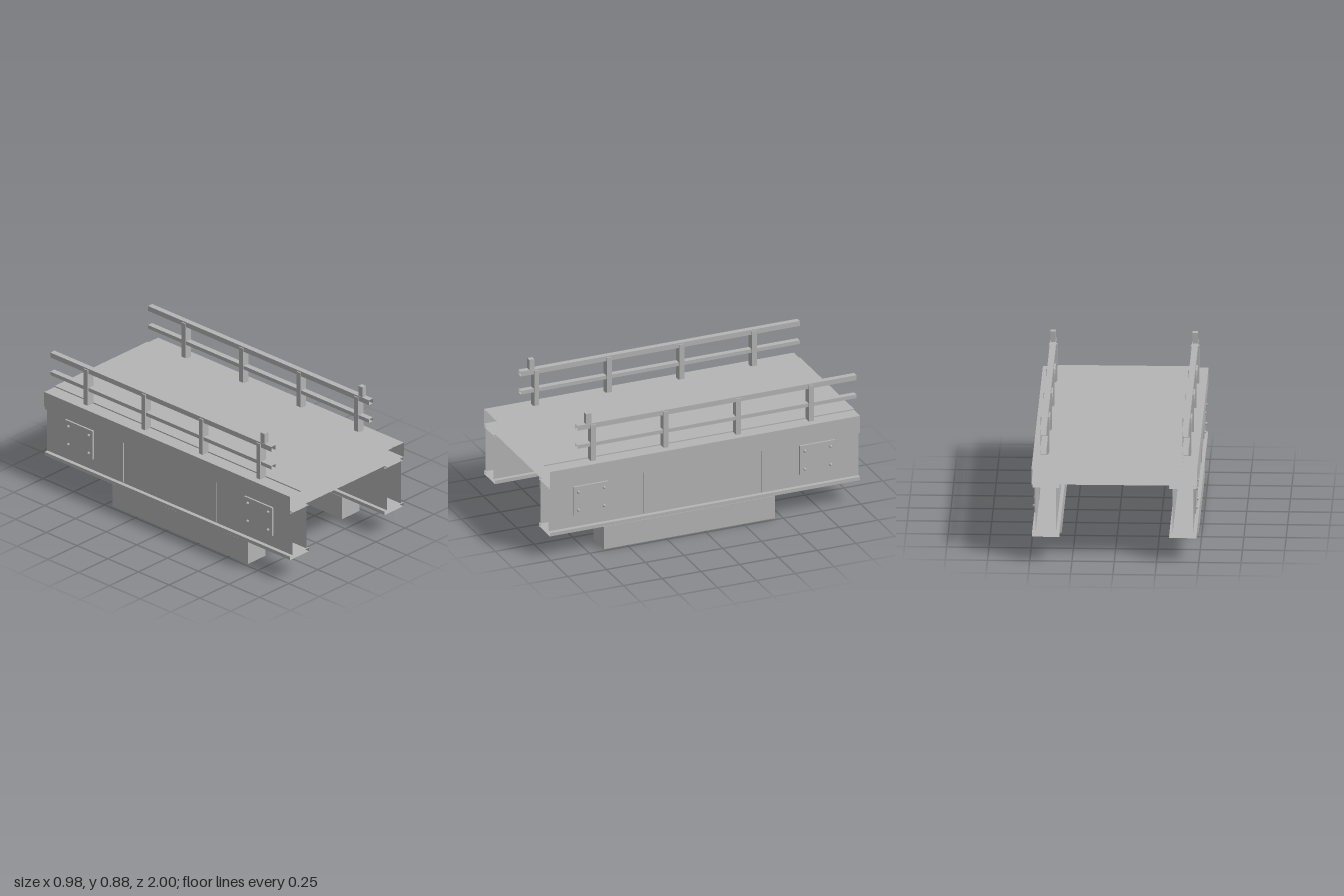
import * as THREE from 'three';

// Bridge section: deck on two hollow girders, with railings and bearing blocks
export function createModel() {
  const model = new THREE.Group();
  const steel = new THREE.MeshStandardMaterial({ color: 0xb4b4b4 });
  steel.name = 'grey steel';
  steel.side = THREE.DoubleSide;

  function add(name, geometry, parent) {
    const mesh = new THREE.Mesh(geometry, steel);
    mesh.name = name;
    parent.add(mesh);
    return mesh;
  }

  // Box given by its limits; open boxes have no end faces along z
  function box(name, [x0, x1], [y0, y1], [z0, z1], parent, open = false) {
    const geometry = new THREE.BoxGeometry(Math.abs(x1 - x0), y1 - y0, z1 - z0);
    if (open) {
      geometry.setIndex(Array.from(geometry.index.array.slice(0, 24)));
      geometry.clearGroups();
    }
    geometry.translate((x0 + x1) / 2, (y0 + y1) / 2, (z0 + z1) / 2);
    return add(name, geometry, parent);
  }

  // Deck with a slightly raised roadway
  const full = [-1, 1];
  box('deck', [-0.49, 0.49], [0.475, 0.57], full, model, true);
  box('roadway', [-0.4, 0.4], [0.57, 0.577], full, model, true);

  for (const s of [1, -1]) {
    const side = s > 0 ? 'left' : 'right';
    const span = (a, b) => [s * a, s * b];

    // Hollow girder with top and bottom flanges
    const girder = new THREE.Group();
    girder.name = side + 'Girder';
    model.add(girder);
    box('girderWeb', span(0.345, 0.466), [0.175, 0.46], full, girder, true);
    box('topFlange', span(0.325, 0.485), [0.455, 0.475], full, girder, true);
    box('bottomFlange', span(0.325, 0.487), [0.15, 0.172], full, girder, true);
    box('bearingBlock', span(0.33, 0.48), [0, 0.145], [-0.455, 0.65], girder);

    for (const z of [0.38, -0.38]) {
      box('stiffener', span(0.464, 0.472), [0.18, 0.46], [z - 0.006, z + 0.006], girder);
    }

    // Bolted plates near both ends
    for (const z of [0.73, -0.73]) {
      box('boltedPlate', span(0.466, 0.478), [0.25, 0.437], [z - 0.113, z + 0.113], girder);
      for (const dz of [-0.083, 0.083]) {
        for (const y of [0.284, 0.402]) {
          const bolt = add('bolt', new THREE.SphereGeometry(0.009, 12, 6, 0, Math.PI * 2, 0, Math.PI / 2), girder);
          bolt.scale.y = 1.5;
          bolt.rotation.z = -s * Math.PI / 2;
          bolt.position.set(s * 0.477, y, z + dz);
        }
      }
    }

    // Railing: hollow rails, posts and a taller end stub
    const railing = new THREE.Group();
    railing.name = side + 'Railing';
    model.add(railing);
    box('topRail', span(0.402, 0.438), [0.78, 0.812], [-1, 0.8], railing, true);
    box('middleRail', span(0.402, 0.438), [0.663, 0.686], [-1, 0.8], railing, true);
    for (const z of [0.7, 0.232, -0.236, -0.705]) {
      box('railPost', span(0.395, 0.445), [0.562, 0.803], [z - 0.016, z + 0.016], railing);
    }
    box('endStub', span(0.405, 0.436), [0.784, 0.877], [0.711, 0.744], railing);
  }
  return model;
}
